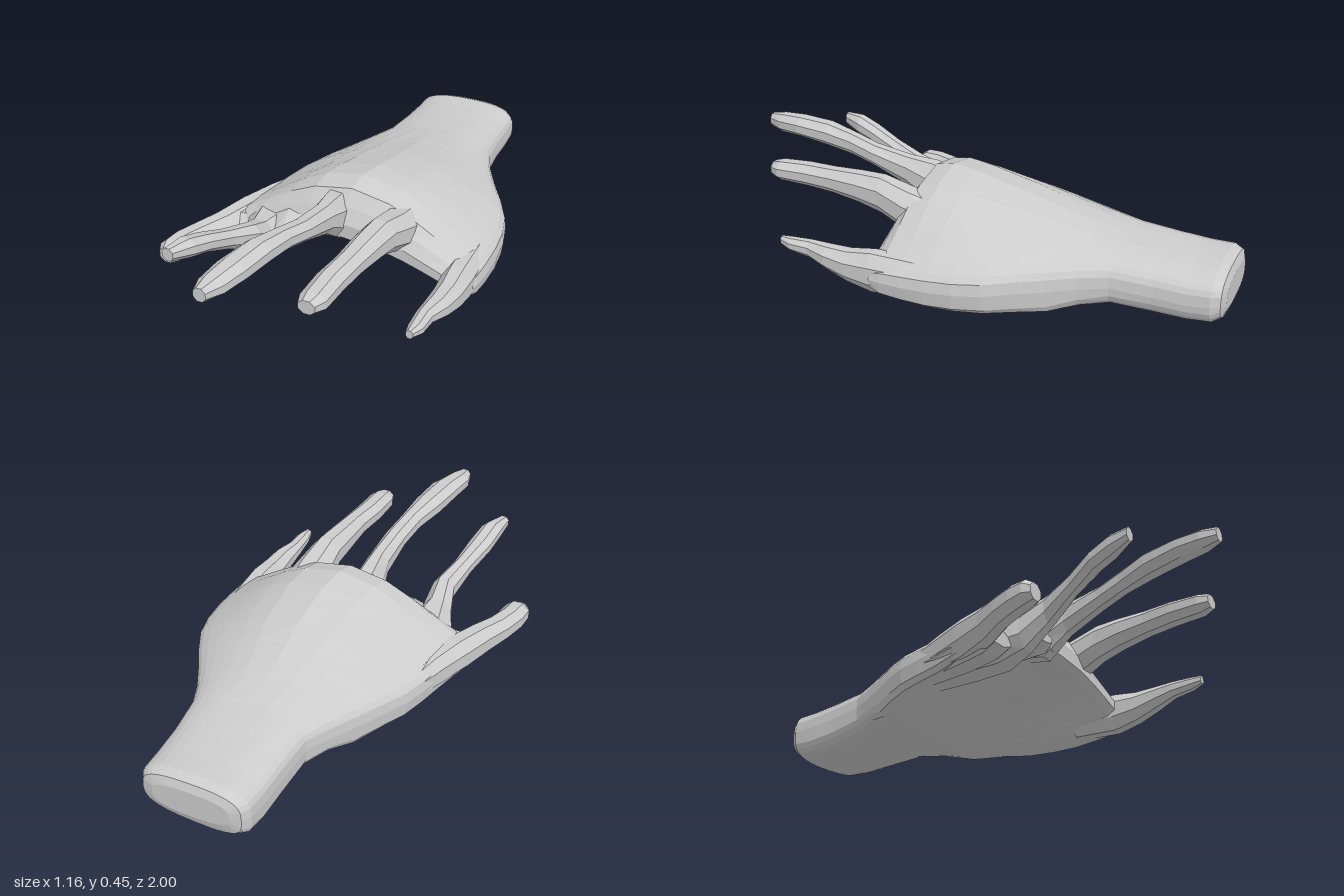
import * as THREE from 'three';

// Skin a list of rings (each an array of Vector3, ordered along +z) and cap both ends
function loft(rings) {
  const n = rings[0].length, pos = [], idx = [];
  const add = (v) => pos.push(v.x, v.y, v.z);
  rings.forEach((ring) => ring.forEach(add));
  for (let i = 0; i < rings.length - 1; i++) {
    for (let j = 0; j < n; j++) {
      const a = i * n + j, b = i * n + (j + 1) % n;
      idx.push(a, b, b + n, a, b + n, a + n);
    }
  }
  // Caps join the upper and lower halves of a ring, so arched rings close cleanly
  [0, rings.length - 1].forEach((r) => {
    for (let j = 0; j < n / 2; j++) {
      const [a, b, c, d] = [j, j + 1, n - j - 1, (n - j) % n].map((k) => r * n + k);
      if (r === 0) idx.push(a, c, b, a, d, c);
      else idx.push(a, b, c, a, c, d);
    }
  });
  const geo = new THREE.BufferGeometry();
  geo.setAttribute('position', new THREE.Float32BufferAttribute(pos, 3));
  geo.setIndex(idx);
  geo.computeVertexNormals();
  return geo;
}

const power = (v, e) => Math.sign(v) * Math.pow(Math.abs(v), e);

// Cupped section: a rounded slab whose back is domed and whose underside is hollowed
function palmRing([z, xl, xr, edge, arch, t, tilt = 0]) {
  const ring = [], n = 32;
  for (let j = 0; j < n; j++) {
    const a = (j / n) * Math.PI * 2;
    const s = power(Math.cos(a), 0.75), h = power(Math.sin(a), 0.6);
    const upper = h >= 0;
    const dome = (1 - s * s) ** (upper ? 1.8 : 1.3);
    const thick = !upper && arch > 0.03 ? t * (1 + 0.4 * s ** 4) : t;
    ring.push(new THREE.Vector3(
      (xl + xr) / 2 + s * (xr - xl) / 2,
      edge + arch * dome + h * thick + (upper ? 0 : tilt * s), z));
  }
  return ring;
}

function fingerRing([x, y, z, rx, ry]) {
  const ring = [], n = 8;
  for (let j = 0; j < n; j++) {
    const a = ((j + 0.5) / n) * Math.PI * 2;
    ring.push(new THREE.Vector3(x + rx * 1.06 * Math.cos(a), y + ry * 1.06 * Math.sin(a), z));
  }
  return ring;
}

export function createModel() {
  const group = new THREE.Group();
  group.name = 'hand';
  const grey = new THREE.MeshStandardMaterial({ color: 0xcccccc, flatShading: true });
  grey.name = 'grey';
  const addPart = (name, rings) => {
    const mesh = new THREE.Mesh(loft(rings), grey);
    mesh.name = name;
    group.add(mesh);
  };

  // Wrist and palm: z, left x, right x, edge height, arch, half thickness, underside tilt
  addPart('palm', [
    [-1, -0.05, 0.25, 0.12, 0, 0.055],
    [-0.988, -0.09, 0.295, 0.118, 0, 0.088, 0.01],
    [-0.955, -0.112, 0.315, 0.114, 0, 0.106, 0.012],
    [-0.87, -0.118, 0.318, 0.11, 0, 0.11, 0.015],
    [-0.75, -0.122, 0.32, 0.117, 0, 0.112, 0.015],
    [-0.6, -0.135, 0.335, 0.13, 0.005, 0.11, 0.01],
    [-0.5, -0.185, 0.375, 0.125, 0.025, 0.115],
    [-0.4, -0.24, 0.43, 0.12, 0.05, 0.118],
    [-0.3, -0.295, 0.49, 0.12, 0.08, 0.115],
    [-0.2, -0.345, 0.542, 0.115, 0.115, 0.113],
    [-0.1, -0.375, 0.568, 0.112, 0.145, 0.11],
    [0, -0.4, 0.577, 0.11, 0.172, 0.108],
    [0.1, -0.43, 0.577, 0.11, 0.19, 0.1],
    [0.18, -0.45, 0.572, 0.11, 0.18, 0.09],
    [0.22, -0.455, 0.565, 0.11, 0.15, 0.065],
    [0.25, -0.44, 0.55, 0.11, 0.125, 0.03],
  ].map(palmRing));

  // Digits and the webs between them: x, y, z, half width, half height
  const digits = {
    thumb: [
      [-0.31, 0.12, -0.15, 0.04, 0.05], [-0.35, 0.12, 0, 0.055, 0.07],
      [-0.395, 0.12, 0.14, 0.065, 0.075], [-0.445, 0.12, 0.27, 0.06, 0.065],
      [-0.49, 0.125, 0.36, 0.055, 0.055], [-0.52, 0.13, 0.44, 0.052, 0.052],
      [-0.53, 0.135, 0.5, 0.05, 0.045], [-0.535, 0.13, 0.53, 0.032, 0.032],
    ],
    thumbWeb: [
      [-0.3, 0.12, -0.1, 0.07, 0.07], [-0.35, 0.11, 0.1, 0.09, 0.075],
      [-0.37, 0.11, 0.22, 0.09, 0.07], [-0.38, 0.1, 0.275, 0.07, 0.03],
    ],
    indexFinger: [
      [-0.2, 0.15, -0.15, 0.1, 0.07], [-0.24, 0.14, 0.05, 0.11, 0.085],
      [-0.26, 0.135, 0.21, 0.1, 0.09],
      [-0.255, 0.16, 0.31, 0.06, 0.075], [-0.245, 0.22, 0.4, 0.045, 0.055],
      [-0.28, 0.27, 0.52, 0.037, 0.04], [-0.31, 0.315, 0.63, 0.045, 0.037],
      [-0.325, 0.34, 0.71, 0.042, 0.04], [-0.35, 0.35, 0.79, 0.022, 0.026],
    ],
    indexWeb: [
      [-0.12, 0.22, 0, 0.1, 0.06], [-0.13, 0.215, 0.15, 0.11, 0.07],
      [-0.135, 0.2, 0.24, 0.1, 0.055], [-0.14, 0.195, 0.3, 0.06, 0.02],
    ],
    middleFinger: [
      [0, 0.27, 0.08, 0.07, 0.07], [0.005, 0.27, 0.22, 0.06, 0.095],
      [0.01, 0.315, 0.32, 0.045, 0.06], [0, 0.355, 0.47, 0.043, 0.042],
      [-0.02, 0.38, 0.58, 0.042, 0.042], [-0.045, 0.397, 0.7, 0.055, 0.045],
      [-0.065, 0.405, 0.84, 0.058, 0.04], [-0.085, 0.4, 0.94, 0.048, 0.037],
      [-0.095, 0.4, 1, 0.024, 0.027],
    ],
    ringFinger: [
      [0.25, 0.25, 0.05, 0.08, 0.06], [0.25, 0.265, 0.2, 0.075, 0.08],
      [0.24, 0.305, 0.32, 0.06, 0.07], [0.23, 0.315, 0.42, 0.057, 0.058],
      [0.22, 0.32, 0.54, 0.05, 0.047], [0.205, 0.32, 0.66, 0.052, 0.043],
      [0.2, 0.318, 0.78, 0.05, 0.038], [0.195, 0.318, 0.82, 0.032, 0.027],
    ],
    littleFinger: [
      [0.5, 0.12, 0.05, 0.06, 0.07], [0.505, 0.12, 0.23, 0.058, 0.078],
      [0.505, 0.125, 0.33, 0.052, 0.06], [0.5, 0.14, 0.42, 0.045, 0.045],
      [0.485, 0.15, 0.5, 0.032, 0.032], [0.485, 0.155, 0.58, 0.028, 0.025],
      [0.48, 0.16, 0.625, 0.014, 0.017],
    ],
  };
  for (const [name, path] of Object.entries(digits)) addPart(name, path.map(fingerRing));

  return group;
}
